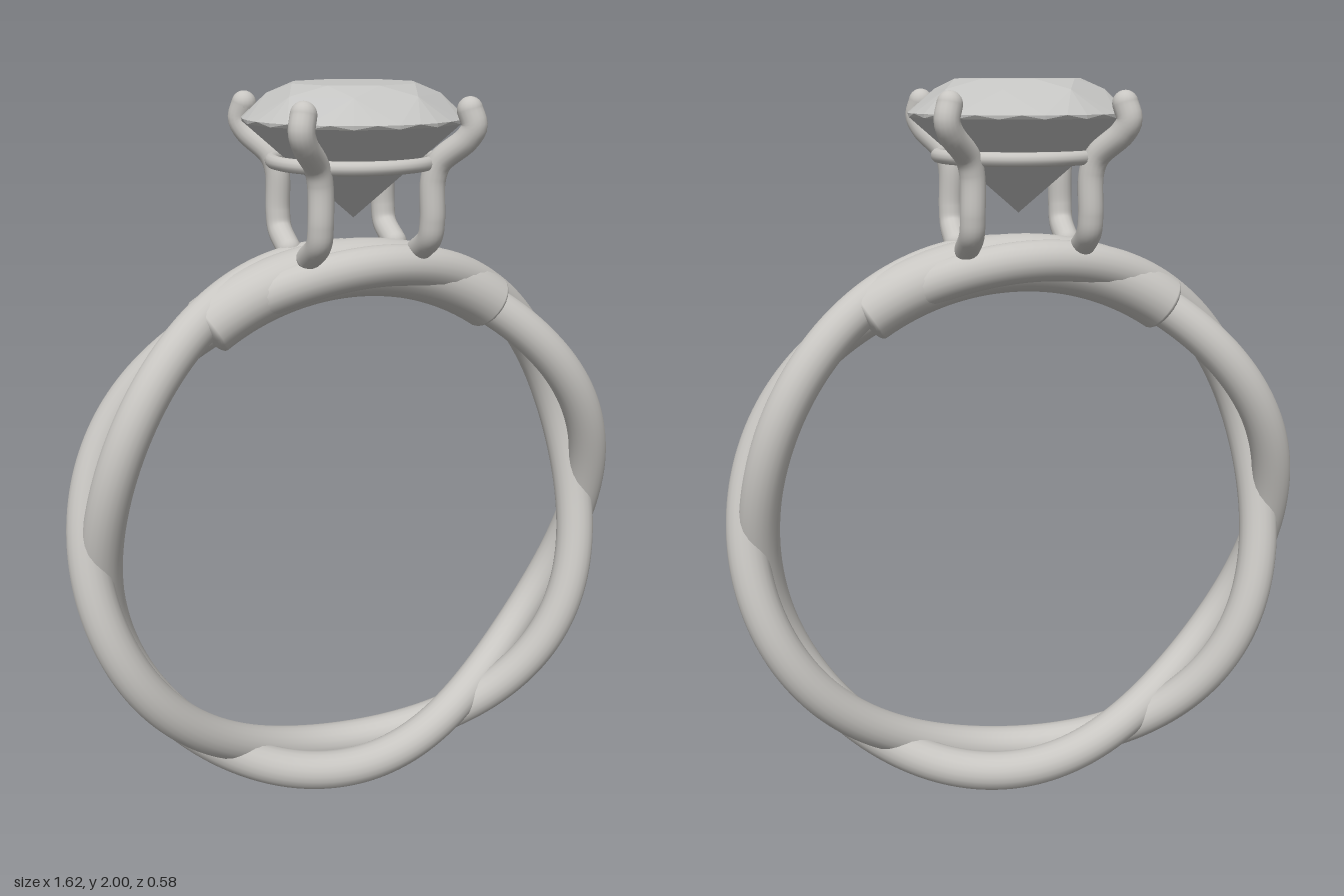
import * as THREE from 'three';
import { ConvexGeometry } from 'three/addons/geometries/ConvexGeometry.js';

const CENTRE_Y = 0.795; // centre of the band

// One strand of the two-strand rope that winds three times round the band
class StrandCurve extends THREE.Curve {
  constructor(side) {
    super();
    this.side = side;
  }
  getPoint(t, target = new THREE.Vector3()) {
    const a = t * Math.PI * 2;
    const r = 0.738 + this.side * 0.017 * Math.cos(3 * a);
    return target.set(r * Math.cos(a), r * Math.sin(a), this.side * 0.075 * Math.sin(3 * a));
  }
}

export function createModel() {
  const metal = new THREE.MeshStandardMaterial({ color: 0xc8c6c2 });
  metal.name = 'metal';
  const gem = new THREE.MeshStandardMaterial({ color: 0xc4c4c2, flatShading: true });
  gem.name = 'gem';

  const model = new THREE.Group();
  model.name = 'ring';
  const add = (parent, name, geometry, material = metal) => {
    const mesh = new THREE.Mesh(geometry, material);
    mesh.name = name;
    parent.add(mesh);
    return mesh;
  };

  // Twisted band
  const band = new THREE.Group();
  band.name = 'band';
  band.position.y = CENTRE_Y;
  model.add(band);
  for (const side of [1, -1]) {
    add(band, 'strand', new THREE.TubeGeometry(new StrandCurve(side), 240, 0.055, 20, true));
  }

  // Solid bridge under the setting, with blunt rounded ends
  const start = THREE.MathUtils.degToRad(56);
  const bridgeGeometry = new THREE.TorusGeometry(0.727, 0.078, 24, 48, Math.PI - 2 * start);
  bridgeGeometry.rotateZ(start);
  bridgeGeometry.scale(1, 1, 1.12);
  add(band, 'bridge', bridgeGeometry);
  for (const a of [start, Math.PI - start]) {
    const end = add(band, 'bridgeEnd', new THREE.SphereGeometry(1, 24, 16));
    end.scale.set(0.078, 0.025, 0.0874);
    end.rotation.z = a;
    end.position.set(0.727 * Math.cos(a), 0.727 * Math.sin(a), 0);
  }

  // Four prongs, bent inward at the foot and outward round the stone
  const setting = new THREE.Group();
  setting.name = 'setting';
  model.add(setting);
  const radius = 0.033;
  for (const sx of [1, -1]) {
    for (const sz of [1, -1]) {
      const points = [
        [0.155, 1.57, 0.075], [0.155, 1.615, 0.145], [0.155, 1.66, 0.157], [0.155, 1.765, 0.157],
        [0.168, 1.81, 0.168], [0.218, 1.868, 0.218], [0.231, 1.9, 0.231], [0.222, 1.94, 0.222],
      ].map(([x, y, z]) => new THREE.Vector3(sx * x, y, sz * z));
      const curve = new THREE.CatmullRomCurve3(points, false, 'centripetal');
      add(setting, 'prong', new THREE.TubeGeometry(curve, 48, radius, 16, false));
      for (const p of [points[0], points[points.length - 1]]) {
        add(setting, 'prongTip', new THREE.SphereGeometry(radius, 16, 12)).position.copy(p);
      }
    }
  }

  // Thin gallery ring joining the prongs
  const gallery = add(setting, 'galleryRing', new THREE.TorusGeometry(0.213, 0.018, 12, 64));
  gallery.rotation.x = Math.PI / 2;
  gallery.position.y = 1.805;

  // Faceted stone: table, crown, girdle and pointed pavilion
  const corners = [new THREE.Vector3(0, 1.655, 0)];
  const ringOf = (count, r, y, offset = 0) => {
    for (let i = 0; i < count; i++) {
      const a = ((i + offset) / count) * Math.PI * 2;
      corners.push(new THREE.Vector3(r * Math.cos(a), y, r * Math.sin(a)));
    }
  };
  ringOf(8, 0.168, 2.0);
  ringOf(8, 0.224, 1.974, 0.5);
  ringOf(32, 0.29, 1.914);
  ringOf(16, 0.289, 1.904);
  add(model, 'stone', new ConvexGeometry(corners), gem);

  return model;
}
